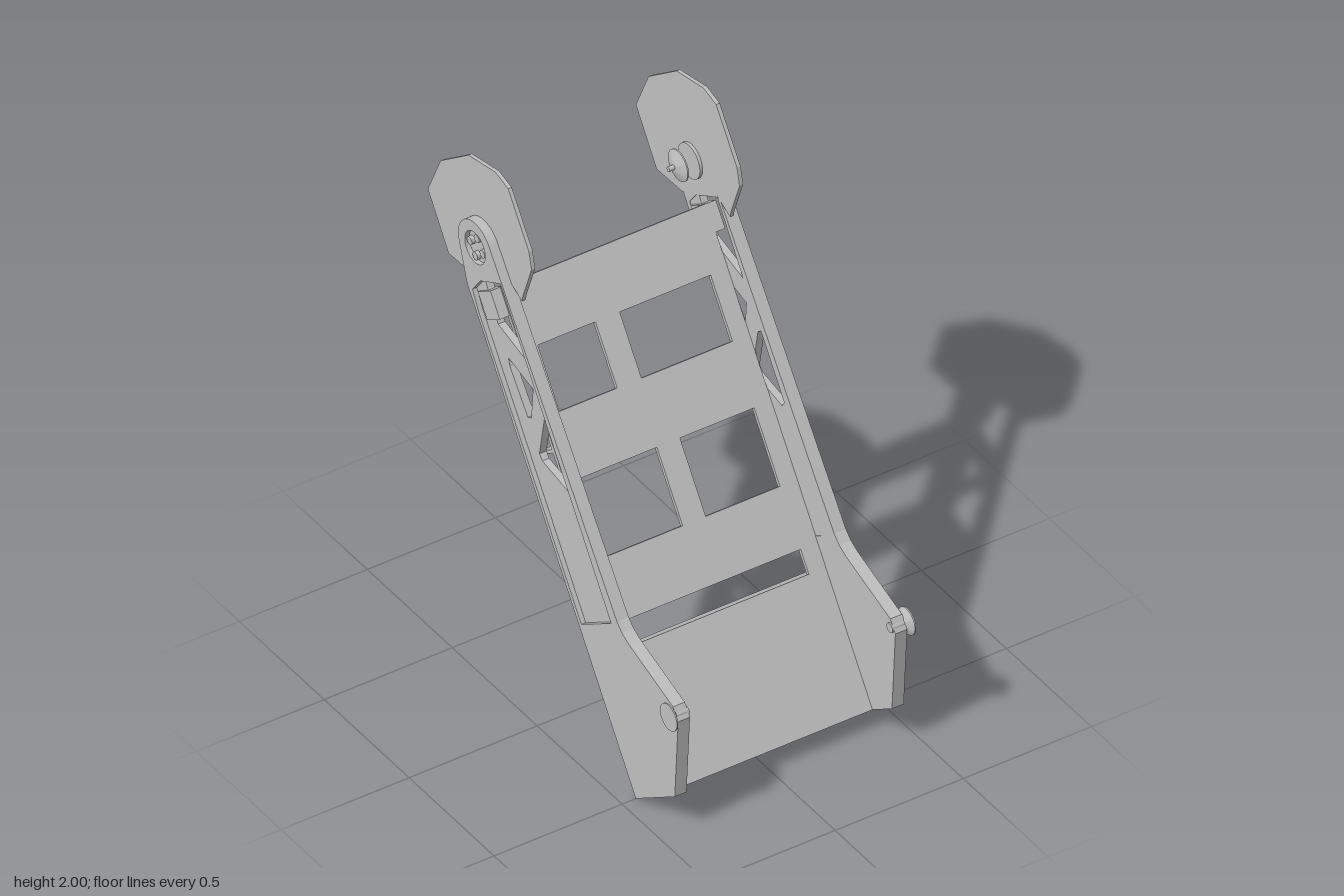
import * as THREE from 'three';
import { toCreasedNormals } from 'three/addons/utils/BufferGeometryUtils.js';

const metal = new THREE.MeshStandardMaterial({ color: 0xbfbfbf });
metal.name = 'plain grey metal';

const TILT = 0.593; // lean of the ramp from vertical
const PIVOT = [0.446, 1.66]; // pivot centre, as (-z, y)

function toShape(points, holes = []) {
  const shape = new THREE.Shape(points.map(([x, y]) => new THREE.Vector2(x, y)));
  for (const h of holes) shape.holes.push(new THREE.Path(h.map(([x, y]) => new THREE.Vector2(x, y))));
  return shape;
}

function add(parent, name, geometry) {
  const mesh = new THREE.Mesh(geometry, metal);
  mesh.name = name;
  parent.add(mesh);
  return mesh;
}

// Plate drawn in (-z, y) and extruded along x from x0 to x1
function sidePlate(parent, name, shape, x0, x1) {
  const g = new THREE.ExtrudeGeometry(shape, { depth: x1 - x0, bevelEnabled: false, curveSegments: 20 });
  g.rotateY(Math.PI / 2);
  g.translate(x0, 0, 0);
  return add(parent, name, g);
}

// Turned part around an x axis; the profile is (radius, distance from the centre plane)
function turned(parent, name, side, profile, [a, y]) {
  const lathe = new THREE.LatheGeometry(profile.map(([r, d]) => new THREE.Vector2(r, d)), 28);
  const g = toCreasedNormals(lathe, 0.6);
  g.rotateZ(-side * Math.PI / 2);
  g.translate(0, y, -a);
  return add(parent, name, g);
}

const disc = (r, d0, d1) => [[0, d0], [r, d0], [r, d1], [0, d1]];

function box(parent, name, x0, x1, y0, y1, z0, z1) {
  const g = new THREE.BoxGeometry(x1 - x0, y1 - y0, z1 - z0);
  g.translate((x0 + x1) / 2, (y0 + y1) / 2, (z0 + z1) / 2);
  return add(parent, name, g);
}

const rect = (x0, x1, y0, y1) => [[x0, y0], [x1, y0], [x1, y1], [x0, y1]];

function buildSide(side) {
  const group = new THREE.Group();
  group.name = side > 0 ? 'leftSide' : 'rightSide';
  const plate = (name, shape, x0, x1) =>
    sidePlate(group, name, shape, side > 0 ? x0 : -x1, side > 0 ? x1 : -x0);

  // Arm rim with a long recess and a pivot hole
  const recess = [[-0.355, 0.631], [-0.18, 0.515], [0.424, 1.411], [0.461, 1.48], [0.414, 1.544], [0.297, 1.607]];
  const arm = toShape([[-0.5, 0.005], [-0.73, 0.16], [-0.75, 0.48], [-0.72, 0.523], [-0.46, 0.612],
    [-0.42, 0.632], [-0.39, 0.66]], [recess]);
  arm.absarc(PIVOT[0], PIVOT[1], 0.1, 2.55, -0.15, true);
  arm.lineTo(0.493, 1.485);
  arm.closePath();
  const hole = new THREE.Path();
  hole.absarc(PIVOT[0], PIVOT[1], 0.06, 0, Math.PI * 2, false);
  arm.holes.push(hole);
  plate('armFrame', arm, 0.401, 0.447);

  // Recessed truss web
  plate('armWeb', toShape(recess, [
    [[0.302, 1.597], [0.408, 1.538], [0.335, 1.41], [0.15, 1.363]],
    [[0.13, 1.274], [0.275, 1.31], [0.265, 1.28], [0.16, 1.14], [0.14, 1.15]],
    [[0.045, 1.213], [0.062, 1.2], [0.092, 1.034], [0.075, 1.015], [-0.08, 0.987], [-0.093, 1.008]],
  ]), 0.403, 0.43);

  // Many-sided head plate
  plate('headPlate', toShape([[0.377, 2], [0.302, 1.98], [0.18, 1.8], [0.164, 1.735], [0.215, 1.595],
    [0.22, 1.57], [0.3, 1.61], [0.42, 1.545], [0.5, 1.495], [0.653, 1.49], [0.775, 1.676], [0.7, 1.84],
    [0.536, 1.968]]), 0.399, 0.413);

  // Pivot boss, hub and bolts
  turned(group, 'pivotBoss', side, disc(0.065, 0.388, 0.4), PIVOT);
  turned(group, 'pivotHub', side, disc(0.059, 0.41, 0.43), PIVOT);
  for (let i = 0; i < 4; i++) {
    const t = i * Math.PI / 2 + 0.1;
    turned(group, 'hubBolt', side, disc(0.015, 0.42, 0.444),
      [PIVOT[0] + 0.038 * Math.cos(t), PIVOT[1] + 0.038 * Math.sin(t)]);
  }

  // Flared pin inboard of the pivot, and flared knob at the lower front
  turned(group, 'pivotPin', side,
    [[0, 0.307], [0.009, 0.307], [0.009, 0.328], [0.02, 0.331], [0.058, 0.345], [0.058, 0.35], [0, 0.35]], PIVOT);
  turned(group, 'lowerKnob', side,
    [[0, 0.396], [0.018, 0.396], [0.018, 0.445], [0.05, 0.462], [0.05, 0.467], [0, 0.467]], [-0.723, 0.49]);
  return group;
}

// Ramp deck in its own frame: x across, y along the slope, z out of the surface
function buildDeck() {
  const deck = new THREE.Group();
  deck.name = 'deck';
  deck.position.set(0, 0.005, 0.5);
  deck.rotation.x = -TILT;

  const panel = toShape(rect(-0.402, 0.402, 0, 1.75), [
    rect(-0.34, 0.335, 0.492, 0.578),
    rect(-0.34, -0.045, 0.796, 1.067), rect(0.045, 0.335, 0.796, 1.067),
    rect(-0.34, -0.115, 1.297, 1.526), rect(-0.02, 0.335, 1.297, 1.526),
  ]);
  const g = new THREE.ExtrudeGeometry(panel, { depth: 0.016, bevelEnabled: false });
  g.translate(0, 0, 0.123);
  add(deck, 'deckPanel', g);

  // Folded lips and stiffeners under the panel
  box(deck, 'bottomLip', -0.402, 0.402, 0.001, 0.014, 0.09, 0.124);
  box(deck, 'slotFlange', -0.402, 0.402, 0.478, 0.492, 0.07, 0.124);
  box(deck, 'topStrip', -0.402, 0.402, 1.65, 1.749, 0.117, 0.124);
  for (const s of [-1, 1]) box(deck, 'topTab', s * 0.415 - 0.025, s * 0.415 + 0.025, 1.65, 1.749, 0.045, 0.135);

  // Cross rib, deeper at both ends
  const rib = new THREE.ExtrudeGeometry(toShape([[-0.402, -0.124], [0.402, -0.124], [0.402, -0.045],
    [0.37, -0.045], [0.32, -0.075], [-0.32, -0.075], [-0.37, -0.045], [-0.402, -0.045]]),
  { depth: 0.012, bevelEnabled: false });
  rib.rotateX(-Math.PI / 2);
  rib.rotateX(Math.PI / 2);
  rib.rotateX(-Math.PI / 2); // shape y becomes -z, thickness runs along the slope
  rib.translate(0, 1.175, 0);
  add(deck, 'crossRib', rib);

  // Clevis with a cross pin
  const cheek = toShape([[-0.124, 0.03], [-0.124, 0.16], [-0.01, 0.12]]);
  cheek.absarc(0.004, 0.093, 0.027, 1.9, -1.9, true);
  for (const x of [0.175, 0.23]) sidePlate(deck, 'clevisCheek', cheek, x, x + 0.016);
  turned(deck, 'clevisPin', 1, disc(0.015, 0.165, 0.256), [0.004, 0.093]);
  box(deck, 'clevisBase', 0.16, 0.261, 0.025, 0.165, 0.113, 0.124);

  // Hook bracket made of two cheeks and a core
  const hook = toShape([[-0.124, 0.2], [-0.124, 0.39], [0, 0.37], [0.045, 0.35], [0.055, 0.315],
    [0.04, 0.28], [0.01, 0.255]]);
  for (const x of [-0.215, -0.14]) sidePlate(deck, 'hookCheek', hook, x, x + 0.014);
  sidePlate(deck, 'hookCore', toShape([[-0.124, 0.33], [-0.124, 0.385], [0, 0.365], [0.04, 0.345],
    [0.05, 0.315], [0, 0.33]]), -0.202, -0.139);
  box(deck, 'hookBase', -0.225, -0.116, 0.19, 0.4, 0.113, 0.124);
  return deck;
}

export function createModel() {
  const model = new THREE.Group();
  model.name = 'loadingRamp';
  model.add(buildDeck(), buildSide(1), buildSide(-1));
  return model;
}
